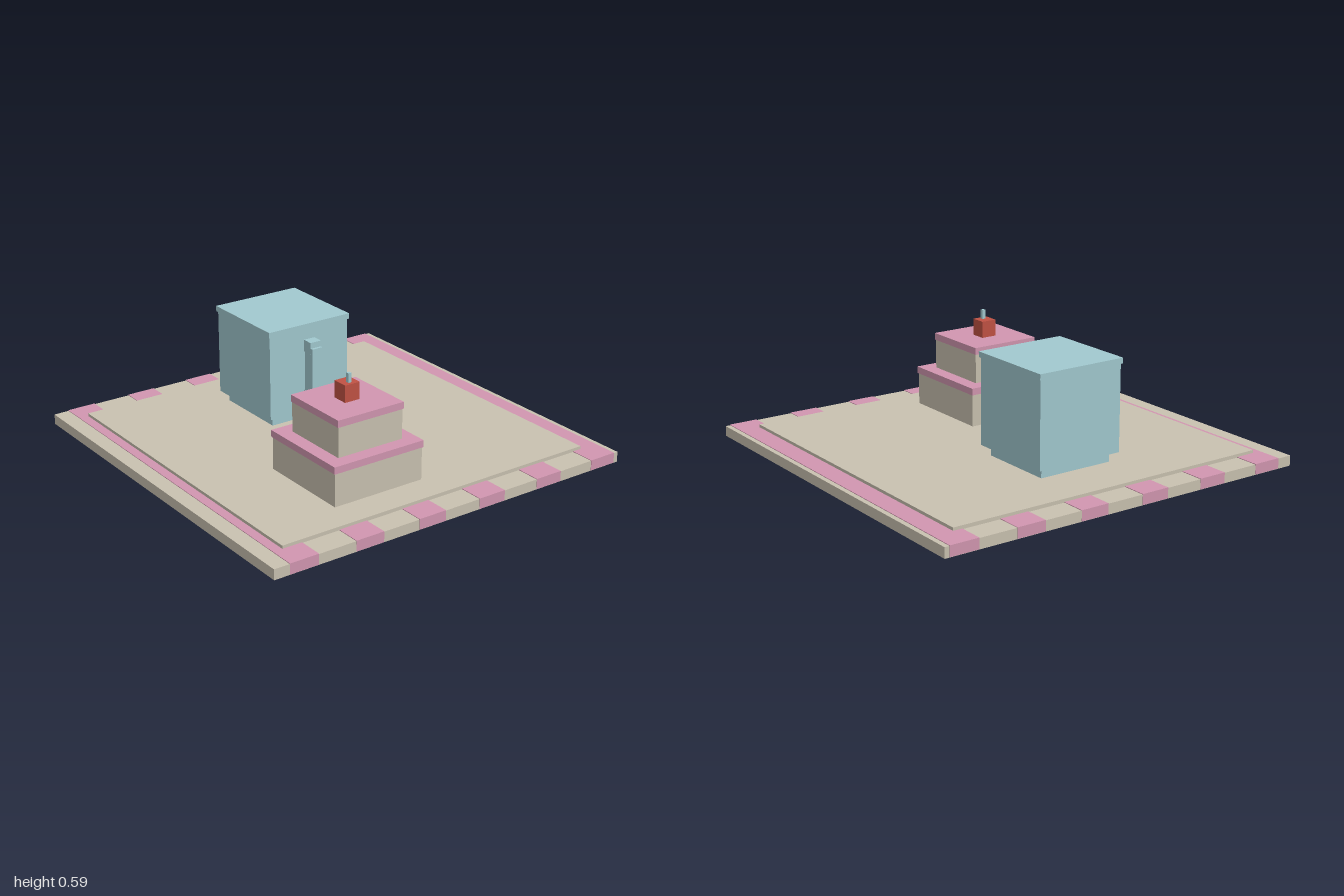
import * as THREE from 'three';

const mat = (name, color) => {
  const m = new THREE.MeshStandardMaterial({ color });
  m.name = name;
  return m;
};

export function createModel() {
  const cream = mat('cream', 0xc9c1b0);
  const pink = mat('pink', 0xd196b0);
  const teal = mat('teal', 0xa1c9cf);
  const red = mat('red', 0xc05244);

  const model = new THREE.Group();
  model.name = 'teaTable';

  const group = (name, x = 0, z = 0) => {
    const g = new THREE.Group();
    g.name = name;
    g.position.set(x, 0, z);
    model.add(g);
    return g;
  };

  // Box standing between heights y0 and y1, centred on x and z
  const block = (parent, name, material, w, d, y0, y1, x = 0, z = 0) => {
    const mesh = new THREE.Mesh(new THREE.BoxGeometry(w, y1 - y0, d), material);
    mesh.name = name;
    mesh.position.set(x, (y0 + y1) / 2, z);
    parent.add(mesh);
  };

  // Striped cloth with a raised centre panel
  const cloth = group('cloth');
  block(cloth, 'clothBase', cream, 1.996, 2, 0, 0.052);
  for (let i = 0; i < 6; i++) {
    block(cloth, 'clothStripe', pink, 2, 0.15, 0.002, 0.055, 0, -0.9 + i * 0.349);
  }
  block(cloth, 'centrePanel', cream, 1.746, 1.746, 0.05, 0.07);

  // Square mug with foot, rim and handle
  const mug = group('mug', -0.4, 0);
  block(mug, 'mugFoot', teal, 0.4, 0.4, 0.07, 0.12);
  block(mug, 'mugBody', teal, 0.466, 0.466, 0.12, 0.555);
  block(mug, 'mugRim', teal, 0.48, 0.48, 0.555, 0.583);
  block(mug, 'handleTop', teal, 0.06, 0.062, 0.44, 0.5, 0.26);
  block(mug, 'handleBottom', teal, 0.06, 0.062, 0.17, 0.235, 0.26);
  block(mug, 'handleGrip', teal, 0.065, 0.06, 0.171, 0.47, 0.2725);

  // Two-tier cake: each tier is sponge topped by a wider icing slab
  const cake = group('cake', 0.464, 0.231);
  const tiers = [
    ['lower', 0.494, 0.504, 0.07, 0.235, 0.27],
    ['upper', 0.362, 0.37, 0.27, 0.42, 0.455],
  ];
  for (const [name, sponge, icing, y0, y1, y2] of tiers) {
    block(cake, name + 'Sponge', cream, sponge, sponge, y0, y1);
    block(cake, name + 'Icing', pink, icing, icing, y1, y2);
  }

  // Cherry and stem
  block(cake, 'cherry', red, 0.082, 0.082, 0.455, 0.54);
  block(cake, 'cherryStem', teal, 0.017, 0.017, 0.54, 0.587, 0.015, 0.002);

  return model;
}
